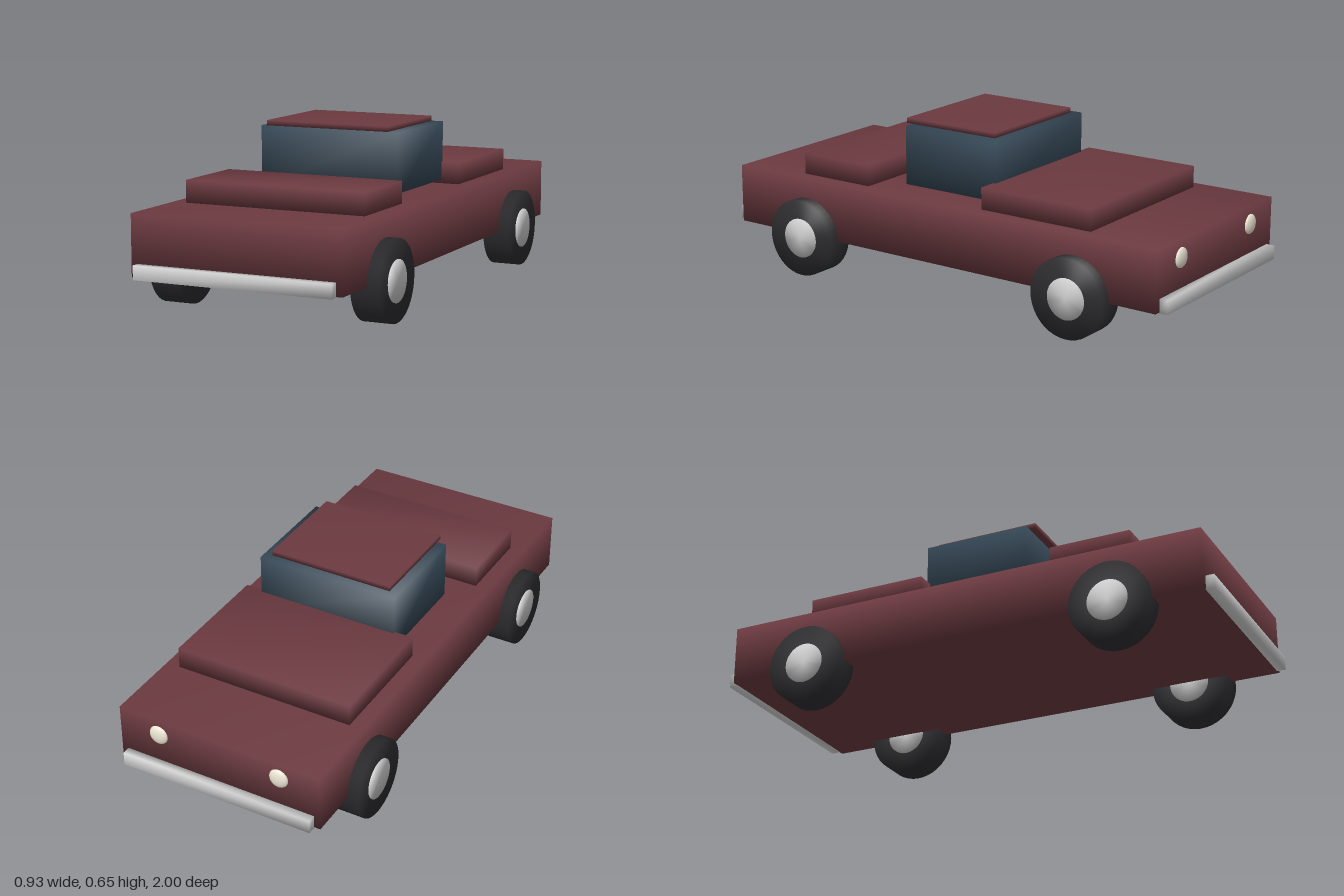
import * as THREE from 'three';
import { mergeVertices } from 'three/addons/utils/BufferGeometryUtils.js';

const paint = new THREE.MeshStandardMaterial({ color: 0x6b3a40 });
const glass = new THREE.MeshStandardMaterial({ color: 0x344654 });
const rubber = new THREE.MeshStandardMaterial({ color: 0x2c2c2f });
const chrome = new THREE.MeshStandardMaterial({ color: 0xcccccc });
const lamp = new THREE.MeshStandardMaterial({ color: 0xece6d4 });

// Weld shared corners so normals blend softly across the edges
function soften(geometry) {
  geometry.deleteAttribute('uv');
  geometry.deleteAttribute('normal');
  geometry.clearGroups();
  const welded = mergeVertices(geometry);
  welded.computeVertexNormals();
  return welded;
}

// Box centred on x = 0, given its half width and its y and z ranges
function slab(name, material, halfWidth, y0, y1, z0, z1) {
  const geometry = soften(new THREE.BoxGeometry(halfWidth * 2, y1 - y0, z1 - z0));
  const mesh = new THREE.Mesh(geometry, material);
  mesh.name = name;
  mesh.position.set(0, (y0 + y1) / 2, (z0 + z1) / 2);
  return mesh;
}

// Disc with its axle along x
function disc(name, material, radius, width) {
  const geometry = soften(new THREE.CylinderGeometry(radius, radius, width, 40).rotateZ(Math.PI / 2));
  const mesh = new THREE.Mesh(geometry, material);
  mesh.name = name;
  return mesh;
}

export function createModel() {
  const car = new THREE.Group();
  car.name = 'car';

  // Body, raised decks, cabin and floating roof
  car.add(
    slab('body', paint, 0.415, 0.153, 0.383, -0.967, 0.967),
    slab('hood', paint, 0.36, 0.383, 0.467, -0.66, -0.18),
    slab('trunk', paint, 0.36, 0.383, 0.467, 0.357, 0.677),
    slab('cabin', glass, 0.287, 0.397, 0.625, -0.192, 0.228),
    slab('roof', paint, 0.252, 0.628, 0.648, -0.163, 0.25)
  );

  // Bumpers at both ends
  car.add(
    slab('frontBumper', chrome, 0.39, 0.15, 0.203, 0.965, 1),
    slab('rearBumper', chrome, 0.39, 0.15, 0.203, -1, -0.965)
  );

  // Wheels with hubs showing on both faces
  for (const side of [-1, 1]) {
    for (const end of [-1, 1]) {
      const wheel = new THREE.Group();
      wheel.name = (end > 0 ? 'front' : 'rear') + (side > 0 ? 'Left' : 'Right') + 'Wheel';
      wheel.add(disc('tire', rubber, 0.152, 0.11), disc('hub', chrome, 0.078, 0.118));
      wheel.position.set(side * 0.405, 0.152, end * 0.623);
      car.add(wheel);
    }

    // Flattened round lamps
    const light = new THREE.Mesh(new THREE.SphereGeometry(0.038, 24, 16), lamp);
    light.name = side > 0 ? 'leftLamp' : 'rightLamp';
    light.scale.z = 0.4;
    light.position.set(side * 0.25, 0.317, -0.967);
    car.add(light);
  }

  return car;
}
